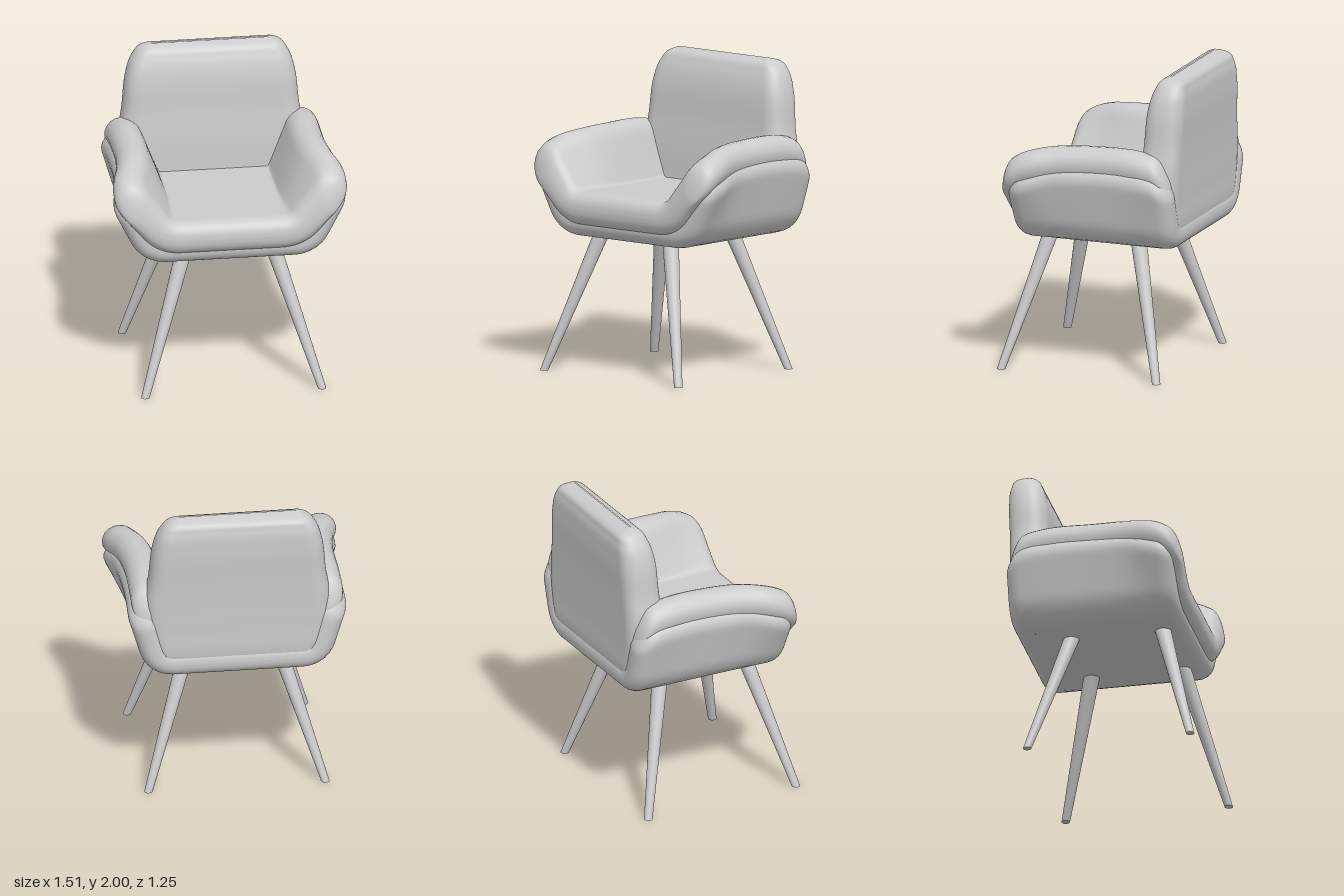
import * as THREE from 'three';

const material = new THREE.MeshStandardMaterial({ color: 0xcccccc });

function named(geometry, name) {
  const mesh = new THREE.Mesh(geometry, material);
  mesh.name = name;
  return mesh;
}

// Smooth skin over a list of closed rings with equal point counts
function loft(rings) {
  const n = rings[0].length, index = [];
  for (let i = 0; i < rings.length - 1; i++) {
    for (let j = 0; j < n; j++) {
      const k = (j + 1) % n, a = i * n, b = a + n;
      index.push(a + j, a + k, b + j, a + k, b + k, b + j);
    }
  }
  const geometry = new THREE.BufferGeometry().setFromPoints(rings.flat());
  geometry.setIndex(index);
  geometry.computeVertexNormals();
  return geometry;
}

// Smooth interpolation through rows of [key, ...values]
function keyed(rows) {
  const size = rows[0].length - 1;
  const curve = new THREE.CubicInterpolant(rows.map(r => r[0]), rows.flatMap(r => r.slice(1)), size);
  return t => Array.from(curve.evaluate(t));
}

// Values from a to b, packed closely near both ends
function spread(a, b, n) {
  return Array.from({ length: n + 1 }, (_, i) => a + (b - a) * (1 - Math.cos(Math.PI * i / n)) / 2);
}

// Padded U-shaped sheet: floor plus two leaning arms, rounded at every edge.
// armRows hold [z, x, y] of the right arm's rolled top.
function paddedU({ cornerX, floorY, radius, round, armRows }) {
  const arm = keyed(armRows), back = armRows[0][0], front = armRows[armRows.length - 1][0];
  const rings = spread(back, front, 56).map(z => {
    const [ex, ey] = arm(z);
    const edge = Math.min(z - back, front - z);
    const t = Math.min(1, Math.max(0, 1 - edge / round));
    const r = radius * Math.pow(Math.max(0, 1 - Math.pow(t, 2.3)), 1 / 2.3);
    // centre line of the U with softened corners
    const corner = new THREE.Vector2(cornerX, floorY);
    const up = new THREE.Vector2(ex, ey).sub(corner).setLength(0.1).add(corner);
    const path = new THREE.Path();
    path.moveTo(-ex, ey).lineTo(-up.x, up.y);
    path.quadraticCurveTo(-cornerX, floorY, -cornerX + 0.1, floorY);
    path.lineTo(cornerX - 0.1, floorY);
    path.quadraticCurveTo(cornerX, floorY, up.x, up.y).lineTo(ex, ey);
    const ring = [], n = 56, caps = 10;
    const add = (u, angle) => {
      const p = path.getPoint(u), d = path.getTangent(u).rotateAround(new THREE.Vector2(), angle);
      ring.push(new THREE.Vector3(p.x + d.x * r, p.y + d.y * r, z));
    };
    for (let i = 0; i <= n; i++) add(i / n, -Math.PI / 2);
    for (let i = 1; i < caps; i++) add(1, Math.PI * (i / caps - 0.5));
    for (let i = n; i >= 0; i--) add(i / n, Math.PI / 2);
    for (let i = 1; i < caps; i++) add(0, Math.PI * (i / caps + 0.5));
    return ring;
  });
  return loft(rings);
}

// Backrest cushion from rounded horizontal sections: [y, half width, front z, back z]
function backrest() {
  const at = keyed([
    [0.87, 0.45, -0.45, -0.45], [0.9, 0.5, -0.37, -0.55], [1.0, 0.55, -0.33, -0.59],
    [1.2, 0.6, -0.33, -0.6], [1.4, 0.6, -0.34, -0.605], [1.55, 0.575, -0.355, -0.61],
    [1.8, 0.545, -0.375, -0.62], [1.92, 0.5, -0.41, -0.61], [1.98, 0.44, -0.45, -0.575],
    [2.0, 0.38, -0.5, -0.505],
  ]);
  const soft = v => Math.sign(v) * Math.pow(Math.abs(v), 0.8);
  return loft(spread(0.87, 2, 48).map(y => {
    const [w, zf, zb] = at(y);
    const d = (zf - zb) / 2, n = 48;
    return Array.from({ length: n }, (_, j) => {
      const a = (j + 0.5) / n * Math.PI * 2, c = Math.cos(a);
      return new THREE.Vector3(Math.sign(c) * (w - d) + d * soft(c), y, (zf + zb) / 2 - d * soft(Math.sin(a)));
    });
  }));
}

// Tapered splayed leg, sheared so that the foot stays flat on the floor
function leg(top, foot) {
  const height = 0.95;
  const geometry = new THREE.CylinderGeometry(0.055, 0.027, height, 20);
  geometry.translate(0, height / 2, 0);
  const p = geometry.attributes.position;
  for (let i = 0; i < p.count; i++) {
    const t = p.getY(i) / 0.87;
    p.setX(i, p.getX(i) + THREE.MathUtils.lerp(foot[0], top[0], t));
    p.setZ(i, p.getZ(i) + THREE.MathUtils.lerp(foot[1], top[1], t));
  }
  geometry.computeVertexNormals();
  return geometry;
}

export function createModel() {
  const chair = new THREE.Group();
  chair.name = 'armchair';

  // Inner padding: seat and rolled arms
  chair.add(named(paddedU({
    cornerX: 0.43, floorY: 1.06, radius: 0.11, round: 0.1,
    armRows: [
      [-0.58, 0.57, 1.28], [-0.5, 0.575, 1.38], [-0.4, 0.575, 1.415], [0, 0.575, 1.425],
      [0.2, 0.6, 1.412], [0.35, 0.638, 1.385], [0.45, 0.645, 1.345], [0.52, 0.63, 1.29], [0.56, 0.605, 1.21],
    ],
  }), 'seatAndArmPadding'));

  // Outer shell: underside and side panels
  chair.add(named(paddedU({
    cornerX: 0.51, floorY: 0.97, radius: 0.1, round: 0.11,
    armRows: [
      [-0.6, 0.59, 1.22], [-0.5, 0.605, 1.29], [-0.3, 0.6, 1.32], [0, 0.6, 1.32],
      [0.2, 0.615, 1.31], [0.35, 0.645, 1.27], [0.45, 0.648, 1.24], [0.51, 0.635, 1.2],
    ],
  }), 'outerShell'));

  chair.add(named(backrest(), 'backrest'));

  for (const side of [1, -1]) {
    const name = side > 0 ? 'Left' : 'Right';
    chair.add(named(leg([side * 0.3, 0.36], [side * 0.573, 0.598]), 'front' + name + 'Leg'));
    chair.add(named(leg([side * 0.3, -0.245], [side * 0.573, -0.475]), 'rear' + name + 'Leg'));
  }
  return chair;
}
